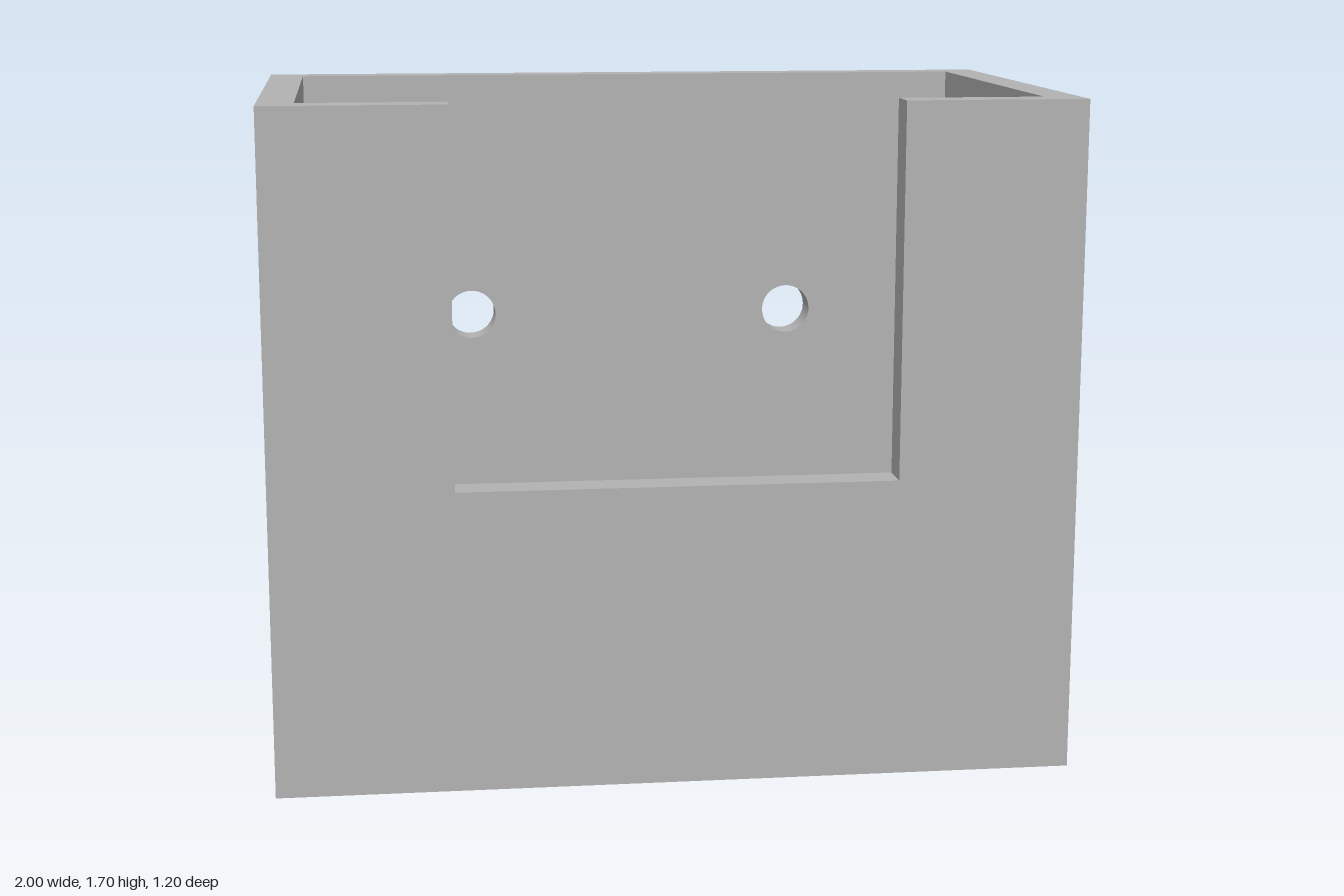
import * as THREE from 'three';

const W = 2, H = 1.695, D = 1.195, T = 0.09;

export function createModel() {
  const model = new THREE.Group();
  model.name = 'openBox';
  const grey = new THREE.MeshStandardMaterial({ color: 0xb2b2b2 });
  grey.name = 'grey';

  const polygon = (points) => new THREE.Shape(points.map(([x, y]) => new THREE.Vector2(x, y)));
  const plate = (name, shape) => {
    const geometry = new THREE.ExtrudeGeometry(shape, { depth: T, bevelEnabled: false, curveSegments: 32 });
    const mesh = new THREE.Mesh(geometry, grey);
    mesh.name = name;
    model.add(mesh);
    return mesh;
  };
  const rectangle = (w, y0, y1) => [[-w, y0], [w, y0], [w, y1], [-w, y1]];

  // Front wall with a wide notch open at the top
  const notchX = 0.548, notchY = 0.76;
  plate('frontWall', polygon([
    [-W / 2, 0], [W / 2, 0], [W / 2, H], [notchX, H],
    [notchX, notchY], [-notchX, notchY], [-notchX, H], [-W / 2, H],
  ])).position.z = D / 2 - T;

  // Back wall with two round mounting holes
  const back = polygon(rectangle(W / 2, 0, H));
  for (const side of [-1, 1]) {
    back.holes.push(new THREE.Path().absarc(side * 0.453, 1.018, 0.068, 0, Math.PI * 2, true));
  }
  plate('backWall', back).position.z = -D / 2;

  // Side walls between front and back
  for (const [name, side] of [['leftWall', 1], ['rightWall', -1]]) {
    const wall = new THREE.Mesh(new THREE.BoxGeometry(T, H, D - 2 * T), grey);
    wall.name = name;
    wall.position.set(side * (W - T) / 2, H / 2, 0);
    model.add(wall);
  }

  // Floor with a rectangular opening
  const base = polygon(rectangle(W / 2 - T, -D / 2 + T, D / 2 - T));
  base.holes.push(polygon(rectangle(0.307, -0.185, 0.185)));
  const floor = plate('floor', base);
  floor.rotation.x = -Math.PI / 2;

  return model;
}
